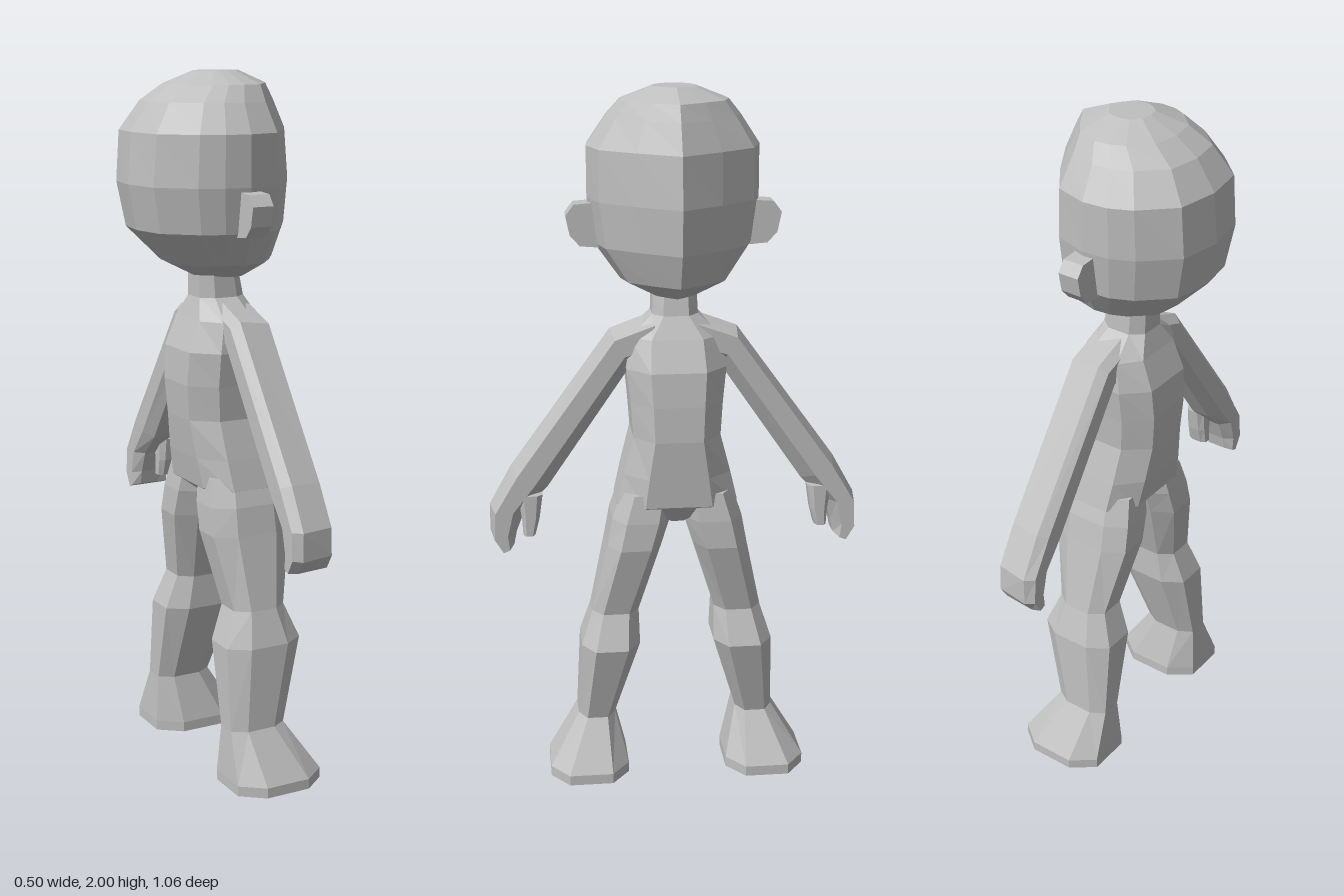
import * as THREE from 'three';

const V = (x, y, z) => new THREE.Vector3(x, y, z);

// Closed, flat-faced skin through rings of equal point count; turned outward by its signed volume
function loft(rings) {
  const tris = [];
  const n = rings[0].length;
  for (let r = 0; r < rings.length - 1; r++) {
    const a = rings[r], b = rings[r + 1];
    for (let i = 0; i < n; i++) {
      const j = (i + 1) % n;
      tris.push([a[i], a[j], b[j]], [a[i], b[j], b[i]]);
    }
  }
  const cap = (ring, flip) => {
    const c = ring.reduce((s, p) => s.add(p), V(0, 0, 0)).divideScalar(n);
    for (let i = 0; i < n; i++) {
      const p = ring[i], q = ring[(i + 1) % n];
      tris.push(flip ? [c, q, p] : [c, p, q]);
    }
  };
  cap(rings[0], true);
  cap(rings[rings.length - 1], false);
  const volume = tris.reduce((s, [a, b, c]) => s + a.dot(b.clone().cross(c)), 0);
  const pts = tris.flatMap(([a, b, c]) => (volume < 0 ? [a, c, b] : [a, b, c]));
  const geo = new THREE.BufferGeometry().setFromPoints(pts);
  geo.computeVertexNormals();
  return geo;
}

// Eight-sided horizontal section inside the given x and z limits
const OCT = [[1, 0.55], [0.5, 1], [-0.5, 1], [-1, 0.55], [-1, -0.55], [-0.5, -1], [0.5, -1], [1, -0.55]];
const octagon = (y, x0, x1, z0, z1) => OCT.map(([u, w]) =>
  V((x0 + x1) / 2 + u * (x1 - x0) / 2, y, (z0 + z1) / 2 + w * (z1 - z0) / 2));

export function createModel() {
  const model = new THREE.Group();
  const grey = new THREE.MeshStandardMaterial({ color: 0xbfbfbf, flatShading: true });
  grey.name = 'plain grey';
  const add = (name, geo) => {
    const mesh = new THREE.Mesh(geo, grey);
    mesh.name = name;
    model.add(mesh);
  };

  // Head: half outline as (back-to-front fraction, width fraction), ridged down the face
  const half = [[1, 0], [0.85, 0.48], [0.7, 0.88], [0.5, 1], [0.35, 0.97], [0.22, 0.85], [0.04, 0.5], [0, 0]];
  const outline = [...half, ...half.slice(1, -1).reverse().map(([u, w]) => [u, -w])];
  const headRings = [ // y, back x, front x, half width
    [1.435, -0.04, 0.12, 0.06], [1.48, -0.13, 0.2, 0.15], [1.575, -0.225, 0.238, 0.22],
    [1.7, -0.25, 0.25, 0.238], [1.84, -0.24, 0.238, 0.238], [1.92, -0.185, 0.2, 0.185],
    [1.965, -0.12, 0.175, 0.148], [2, -0.04, 0.09, 0.06],
  ];
  add('head', loft(headRings.map(([y, b, f, w]) =>
    outline.map(([u, k]) => V(b + u * (f - b), y, k * w)))));

  // Neck, chest, waist, hips and crotch in one skin
  const torsoRings = [ // y, back x, front x, half width
    [0.79, 0, 0.12, 0.03], [0.845, -0.07, 0.163, 0.172], [0.93, -0.085, 0.168, 0.152],
    [1.04, -0.1, 0.175, 0.123], [1.14, -0.108, 0.17, 0.13], [1.235, -0.103, 0.16, 0.14],
    [1.32, -0.07, 0.12, 0.13], [1.38, -0.05, 0.088, 0.064], [1.47, -0.05, 0.07, 0.06],
  ];
  add('torso', loft(torsoRings.map(([y, b, f, w]) => octagon(y, b, f, -w, w))));

  const legRings = [ // y, back x, front x, inner z, outer z
    [0.88, -0.06, 0.155, 0.01, 0.158], [0.8, -0.072, 0.167, 0.02, 0.185],
    [0.72, -0.075, 0.17, 0.045, 0.2], [0.51, -0.035, 0.125, 0.11, 0.245],
    [0.41, -0.07, 0.165, 0.108, 0.277], [0.17, -0.07, 0.1, 0.18, 0.288],
    [0.03, -0.08, 0.19, 0.145, 0.375], [0, -0.08, 0.19, 0.145, 0.375],
  ];
  const armSection = [[0, 1], [0.095, 0.85], [0.095, 0.35], [0.055, 0], [0, 0], [-0.025, 0.3], [-0.025, 0.8]];
  const armRings = [ // upper z, upper y, lower z, lower y
    [0.06, 1.375, 0.06, 1.25], [0.18, 1.33, 0.125, 1.235], [0.466, 0.935, 0.365, 0.885],
    [0.53, 0.82, 0.43, 0.82], [0.53, 0.74, 0.455, 0.755], [0.5, 0.7, 0.463, 0.715],
  ];
  const thumb = [[0.38, 0.87, 0.45, 0.87], [0.39, 0.8, 0.44, 0.8], [0.403, 0.75, 0.437, 0.75]];
  const ear = [[0.2, 1.565], [0.26, 1.57], [0.287, 1.6], [0.298, 1.655], [0.275, 1.685], [0.2, 1.69]];

  // Limbs and ears, mirrored across z
  for (const [s, side] of [[1, 'right'], [-1, 'left']]) {
    add(side + 'Leg', loft(legRings.map(([y, b, f, i, o]) => octagon(y, b, f, s * i, s * o))));
    add(side + 'Arm', loft(armRings.map(([uz, uy, lz, ly]) => armSection.map(([x, k]) =>
      V(x, ly + k * (uy - ly), s * (lz + k * (uz - lz)))))));
    add(side + 'Thumb', loft(thumb.map(([z0, y, z1]) => octagon(y, 0.035, 0.095, s * z0, s * z1))));
    add(side + 'Ear', loft([-0.028, 0.034].map((x) => ear.map(([z, y]) => V(x, y, s * z)))));
  }
  return model;
}
